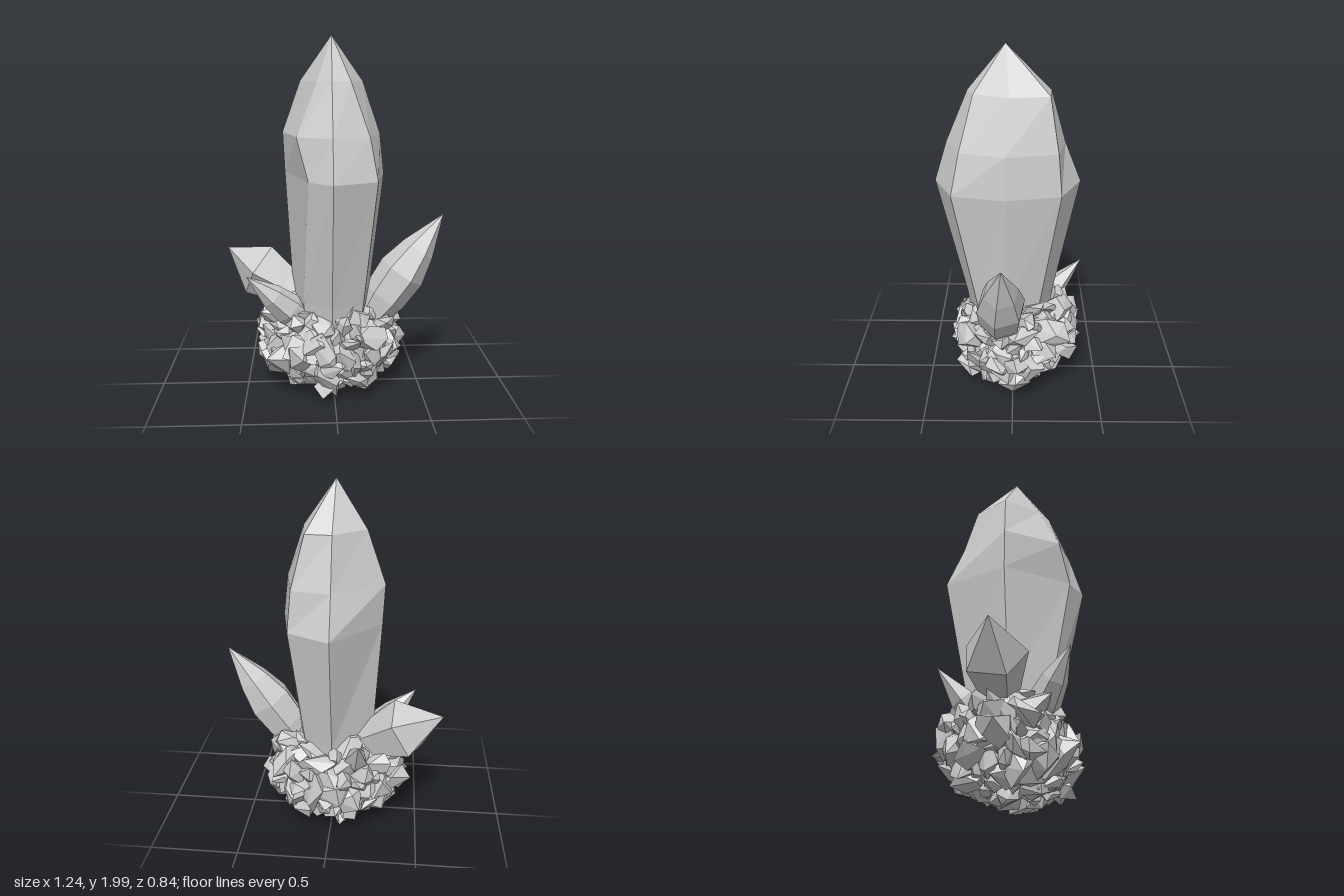
import * as THREE from 'three';
import { mergeGeometries } from 'three/addons/utils/BufferGeometryUtils.js';
import { ConvexGeometry } from 'three/addons/geometries/ConvexGeometry.js';

const material = new THREE.MeshStandardMaterial({ color: 0xcccccc, flatShading: true });

// Small seeded generator
function seeded(seed) {
  return () => {
    seed = (seed * 16807) % 2147483647;
    return seed / 2147483647;
  };
}

// Skin rings of points (bottom to top) and close them with a floor and a tip
function loft(rings, tip) {
  const n = rings[0].length;
  const pos = [];
  const tri = (...pts) => pts.forEach((p) => pos.push(p.x, p.y, p.z));
  const last = rings.length - 1;
  for (let i = 0; i < n; i++) {
    const j = (i + 1) % n;
    for (let r = 0; r < last; r++) {
      const a = rings[r][i], b = rings[r][j], c = rings[r + 1][j], d = rings[r + 1][i];
      tri(a, b, c);
      tri(a, c, d);
    }
    tri(rings[last][i], rings[last][j], tip);
    if (i > 0 && i < n - 1) tri(rings[0][0], rings[0][j], rings[0][i]);
  }
  const g = new THREE.BufferGeometry();
  g.setAttribute('position', new THREE.Float32BufferAttribute(pos, 3));
  g.computeVertexNormals();
  return g;
}

function addMesh(group, name, geometry) {
  const mesh = new THREE.Mesh(geometry, material);
  mesh.name = name;
  group.add(mesh);
  return mesh;
}

// Large central crystal: seven ridges, [height, [x, z] per ridge]
function mainCrystal() {
  const foot = [[-0.015, 0.27], [0.16, 0.2], [0.2, 0.04], [0.15, -0.15], [-0.01, -0.23], [-0.23, -0.05], [-0.17, 0.18]];
  const levels = [
    [0.3, foot.map(([x, z]) => [x * 0.85, z * 0.85])],
    [0.55, foot],
    [1.255, [[-0.015, 0.43], [0.22, 0.325], [0.28, 0.04], [0.22, -0.255], [-0.01, -0.37], [-0.27, -0.08], [-0.14, 0.32]]],
    [1.48, [[-0.015, 0.36], [0.18, 0.28], [0.255, 0.04], [0.2, -0.235], [-0.01, -0.28], [-0.28, -0.08], [-0.2, 0.25]]],
    [1.76, [[-0.015, 0.24], [0.085, 0.205], [0.16, 0.02], [0.13, -0.19], [-0.01, -0.2], [-0.18, -0.06], [-0.09, 0.165]]],
  ];
  const rings = levels.map(([y, pts]) => pts.map(([x, z]) => new THREE.Vector3(x, y, z)));
  return loft(rings, new THREE.Vector3(-0.01, 2, 0.04));
}

// Small leaning crystal from base to tip; profile holds [fraction, radius]
function addShard(group, name, base, tip, profile, sides, turn) {
  const from = new THREE.Vector3(...base);
  const dir = new THREE.Vector3(...tip).sub(from);
  const length = dir.length();
  const rings = profile.map(([t, radius]) =>
    Array.from({ length: sides }, (_, i) => {
      const a = turn + (i / sides) * Math.PI * 2;
      return new THREE.Vector3(Math.sin(a) * radius, t * length, Math.cos(a) * radius);
    }));
  const mesh = addMesh(group, name, loft(rings, new THREE.Vector3(0, length, 0)));
  mesh.position.copy(from);
  mesh.quaternion.setFromUnitVectors(new THREE.Vector3(0, 1, 0), dir.normalize());
}

// Angular slab: hull of a few random points, flattened and turned
function chunk(rand, center, size) {
  const stretch = new THREE.Vector3(0.8 + rand() * 0.6, 0.4 + rand() * 0.4, 0.7 + rand() * 0.5);
  const turn = new THREE.Euler(rand() * 6.3, rand() * 6.3, rand() * 6.3);
  const pts = [];
  for (let i = 0; i < 10; i++) {
    const y = 1 - (2 * (i + 0.5)) / 10;
    const a = i * 2.4 + rand() * 0.9;
    const r = Math.sqrt(1 - y * y);
    const p = new THREE.Vector3(Math.cos(a) * r, y, Math.sin(a) * r);
    p.multiplyScalar(size * (0.8 + rand() * 0.4)).multiply(stretch).applyEuler(turn).add(center);
    p.y = Math.max(p.y, rand() * 0.02);
    pts.push(p);
  }
  return new ConvexGeometry(pts);
}

// Rubble shell: slabs spread evenly over a squarish ellipsoid, fuller on top
function rubble() {
  const rand = seeded(9173);
  const parts = [];
  const count = 160;
  for (let i = 0; i < count; i++) {
    const v = 1 - (2 * (i + 0.5)) / count;
    const a = i * 2.39996;
    const r = Math.pow(1 - v * v, v > 0 ? 0.28 : 0.4);
    const depth = 0.87 + rand() * 0.13;
    const center = new THREE.Vector3(
      Math.cos(a) * r * 0.355 * depth - 0.01 + v * 0.01,
      0.305 + v * 0.245 * depth,
      Math.sin(a) * r * 0.315 * depth - 0.02 + Math.max(0, -v) * 0.05);
    parts.push(chunk(rand, center, 0.065 + rand() * 0.055));
  }
  return mergeGeometries(parts);
}

export function createModel() {
  const group = new THREE.Group();
  group.name = 'crystalCluster';

  addMesh(group, 'mainCrystal', mainCrystal());

  // Side crystals
  addShard(group, 'leftCrystal', [0.2, 0.42, 0.07], [0.62, 1.03, 0.055],
    [[0, 0.08], [0.22, 0.125], [0.45, 0.135], [0.67, 0.095]], 6, 0.3);
  addShard(group, 'rightBackCrystal', [-0.12, 0.49, -0.06], [-0.62, 0.78, -0.21],
    [[0, 0.08], [0.3, 0.12], [0.6, 0.17]], 5, 1.08);
  addShard(group, 'rightFrontCrystal', [-0.16, 0.42, 0.1], [-0.48, 0.725, 0.22],
    [[0, 0.07], [0.3, 0.09], [0.58, 0.07]], 6, 0);
  addShard(group, 'backCrystal', [-0.14, 0.44, -0.2], [-0.17, 0.68, -0.41],
    [[0, 0.06], [0.35, 0.065]], 5, 0.6);

  // Rocky base
  addMesh(group, 'rubbleBase', rubble());
  const core = addMesh(group, 'baseCore', new THREE.IcosahedronGeometry(1, 1));
  core.scale.set(0.36, 0.23, 0.31);
  core.position.set(-0.01, 0.3, -0.01);

  return group;
}
